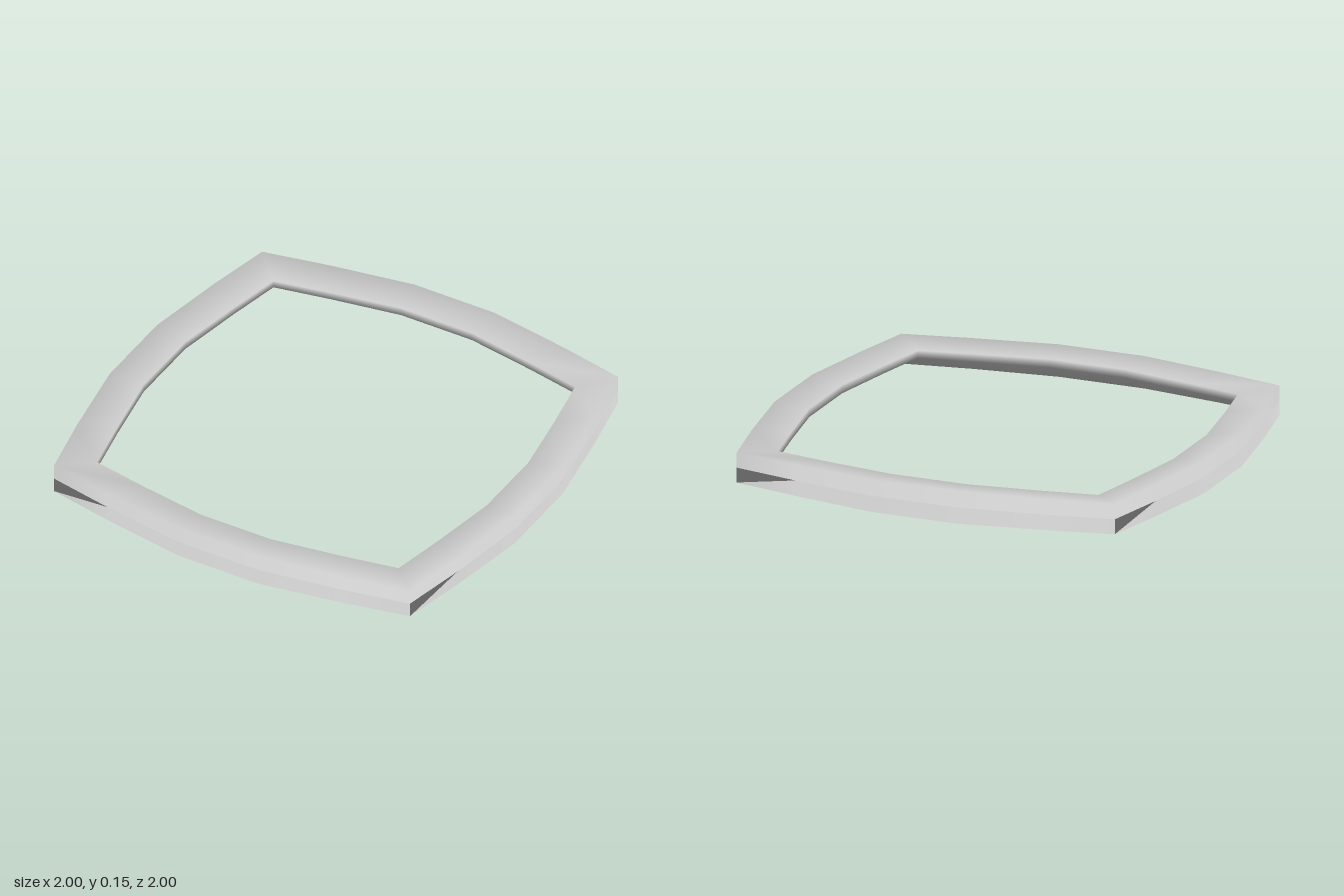
import * as THREE from 'three';

// One side of the frame: outer x, outer z, inner x, inner z, half height
const SIDE = [
  [-0.88, 0.88, -0.745, 0.745, 0.067],
  [-0.58, 0.94, -0.49, 0.795, 0.069],
  [-0.2, 1, -0.175, 0.848, 0.073],
  [0.2, 1, 0.175, 0.848, 0.073],
  [0.58, 0.94, 0.49, 0.795, 0.069],
];
const MID = 0.077;

// Section from the outer seam, over the top, down the thin inner lip and
// along the sloping underside back to the seam:
// [0 = outer edge, 1 = inner edge; height as a share of the half height]
const SECTION = [[0, 0], [0, 1], [1, 0.76], [1, 0.24], [0, -1], [0, 0]];

function frameGeometry() {
  const positions = [], index = [];
  const rows = SECTION.length, stations = SIDE.length * 4;
  for (let i = 0; i < stations; i++) {
    const [ox, oz, ix, iz, h] = SIDE[i % SIDE.length];
    const turn = Math.floor(i / SIDE.length) * Math.PI / 2;
    for (const [t, v] of SECTION) {
      const p = new THREE.Vector3(ox + (ix - ox) * t, MID + h * v, oz + (iz - oz) * t);
      p.applyAxisAngle(THREE.Object3D.DEFAULT_UP, turn);
      positions.push(p.x, p.y, p.z);
    }
    const next = (i + 1) % stations;
    for (let j = 0; j < rows - 1; j++) {
      const a = i * rows + j, b = next * rows + j;
      index.push(a, b, b + 1, a, b + 1, a + 1);
    }
  }
  const geometry = new THREE.BufferGeometry();
  geometry.setAttribute('position', new THREE.Float32BufferAttribute(positions, 3));
  geometry.setIndex(index);
  geometry.computeVertexNormals();

  // Upper rim shades with the top, lower rim with the underside: a crisp seam
  const normal = geometry.attributes.normal;
  const copyNormal = (to, from) => normal.setXYZ(to, normal.getX(from), normal.getY(from), normal.getZ(from));
  for (let i = 0; i < stations; i++) {
    const first = i * rows, last = first + rows - 1;
    copyNormal(first, first + 1);
    copyNormal(last, last - 1);
  }
  return geometry;
}

export function createModel() {
  const group = new THREE.Group();
  group.name = 'squareRing';
  const frame = new THREE.Mesh(frameGeometry(), new THREE.MeshStandardMaterial({ color: 0xcccccc }));
  frame.name = 'frame';
  group.add(frame);
  return group;
}
